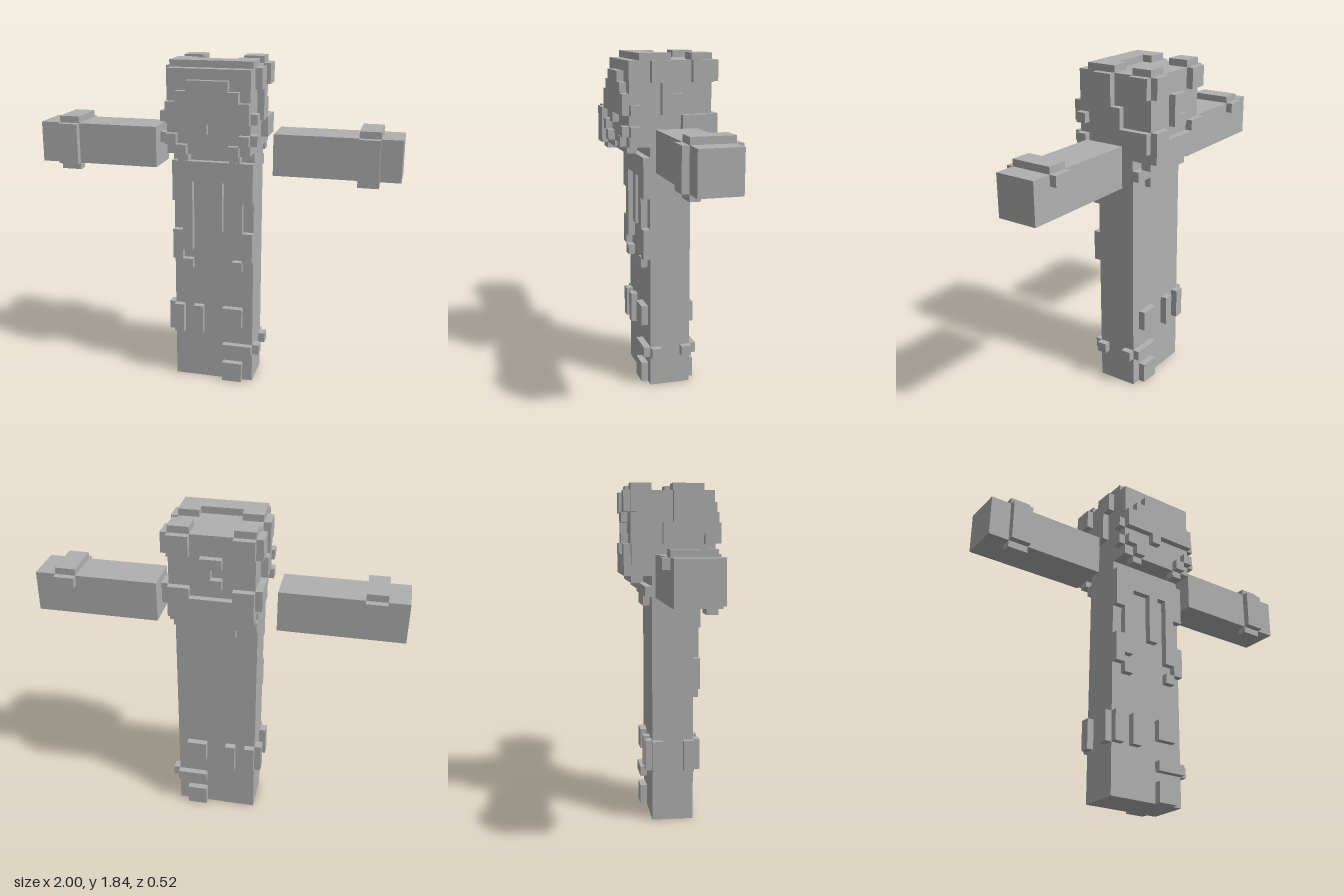
import * as THREE from 'three';

const U = 0.05625;   // grid cell
const T = 0.0375;    // raised layer thickness
const grey = new THREE.MeshStandardMaterial({ color: 0xb0b0b0 });
grey.name = 'plain grey';

function box(parent, name, min, max) {
  const s = max.map((v, i) => v - min[i]);
  const mesh = new THREE.Mesh(new THREE.BoxGeometry(...s), grey);
  mesh.name = name;
  mesh.position.set(...min.map((v, i) => v + s[i] / 2));
  parent.add(mesh);
}

// A block of w x h x d cells with raised plates on its faces.
// Plates are [u0, v0, u1, v1] in cells: front/back u from -x, v down;
// left/right u from the front, v down; top/bottom u from -x, v from the front.
function block(name, size, center, plates) {
  const g = new THREE.Group();
  g.name = name;
  g.position.set(...center);
  const [x, y, z] = size.map((n) => (n * U) / 2);
  box(g, name + 'Block', [-x, -y, -z], [x, y, z]);
  for (const [face, rects] of Object.entries(plates)) {
    for (const [a, b, c, d] of rects.map((r) => r.map((n) => n * U))) {
      const label = name + ' ' + face + ' plate';
      if (face === 'front') box(g, label, [a - x, y - d, z], [c - x, y - b, z + T]);
      if (face === 'back') box(g, label, [a - x, y - d, -z - T], [c - x, y - b, -z]);
      if (face === 'left') box(g, label, [x, y - d, z - c], [x + T, y - b, z - a]);
      if (face === 'right') box(g, label, [-x - T, y - d, z - c], [-x, y - b, z - a]);
      if (face === 'top') box(g, label, [a - x, y, z - d], [c - x, y + T, z - b]);
      if (face === 'bottom') box(g, label, [a - x, -y - T, z - d], [c - x, -y, z - b]);
    }
  }
  return g;
}

// Adds the left-right mirror image of each plate on an 8-cell wide face
const both = (rects) => rects.concat(rects.map(([a, b, c, d]) => [8 - c, b, 8 - a, d]));

export function createModel() {
  const model = new THREE.Group();
  model.name = 'blockFigure';

  // Head with mask, hair straps and back pieces
  const headSide = [
    [2, 0, 4, 2], [3, 2, 4, 3], [3, 3, 5, 5],
    [6, 0, 8, 2], [5, 5, 8, 7],
    [0, 4, 1, 5], [0, 6, 1, 7],
  ];
  model.add(block('head', [8, 8, 8], [0, 1.575, 0], {
    front: [
      [2, 1, 6, 2], [1, 2, 7, 3], [0, 3, 8, 5], [3, 5, 4, 6],
      ...both([[0, 6, 1, 7], [1, 7, 2, 8]]),
    ],
    back: [
      ...both([[0, 0, 2, 2], [0, 5, 2, 6]]),
      [4, 2, 5, 5], [3, 2, 4, 3], [3, 4, 4, 5],
      [0, 6, 8, 8],
    ],
    left: headSide,
    right: headSide,
    top: [...both([[0, 1, 2, 4], [0, 6, 2, 8]]), [2, 1, 6, 3]],
    bottom: [...both([[1, 0, 2, 1]]), [0, 7, 8, 8]],
  }));

  // Torso with open jacket
  model.add(block('torso', [8, 12, 4], [0, 1.0125, 0], {
    front: [
      [0, 1, 8, 3], [4, 3, 5, 8],
      ...both([[0, 3, 2, 5], [1, 5, 2, 8], [0, 8, 2, 10], [0, 10, 1, 11], [1, 11, 2, 12]]),
    ],
    back: [[0, 1, 8, 2], [2, 2, 6, 3]],
  }));

  // Legs with patches, the same on front and back
  const patches = [[0, 4, 1, 7], [2, 4, 3, 7], [5, 4, 7, 6], [5, 8, 8, 9], [5, 10, 7, 12]];
  model.add(block('legs', [8, 12, 4], [0, 0.3375, 0], {
    front: patches,
    back: patches,
    left: [[0, 8, 1, 9], [3, 8, 4, 9]],
    right: [[0, 4, 1, 7], [3, 4, 4, 7]],
  }));

  // Outstretched arms with wrist bands
  for (const side of [1, -1]) {
    const [u0, u1] = side > 0 ? [8, 10] : [2, 4];
    const center = [side * 0.6625, 1.3475 - side * 0.005, 0.001 - side * 0.005];
    model.add(block(side > 0 ? 'leftArm' : 'rightArm', [12, 4, 4], center, {
      front: [[u0, 0, u1, 4]],
      top: [[u0, 0, u1, 4]],
      back: [[u0, 0, u1, 1]],
      bottom: [[u0, 0, u1, 1]],
    }));
  }
  return model;
}
